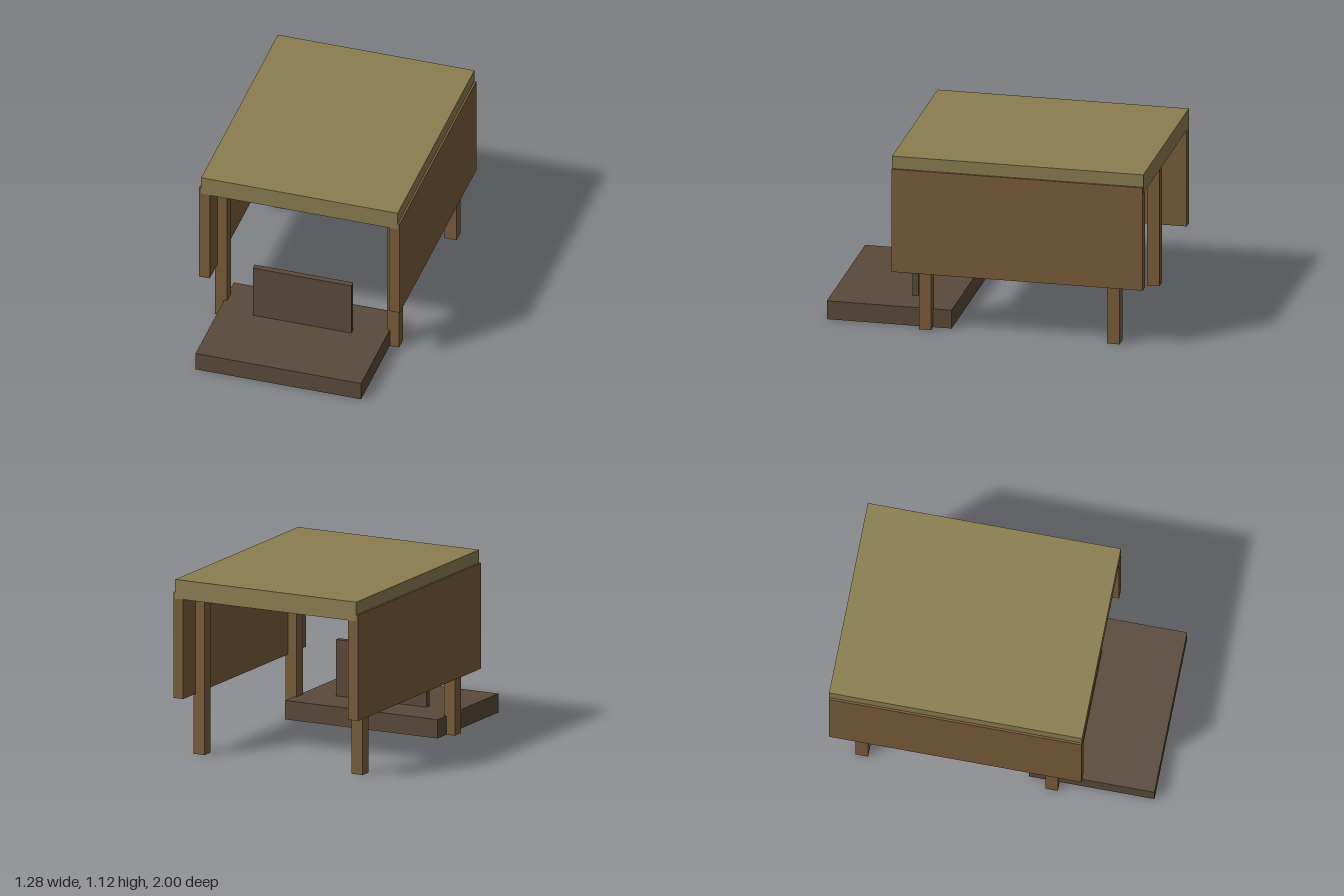
import * as THREE from 'three';

const material = (name, color) => {
  const m = new THREE.MeshStandardMaterial({ color });
  m.name = name;
  return m;
};

export function createModel() {
  const model = new THREE.Group();
  model.name = 'coveredStall';
  const thatch = material('olive roof', 0x8b7d50);
  const wood = material('brown wood', 0x7a5c3a);
  const darkWood = material('dark wood', 0x5a4a3a);

  // Box given by its lower and upper limits on each axis
  const box = (name, mat, [x0, x1], [y0, y1], [z0, z1]) => {
    const mesh = new THREE.Mesh(new THREE.BoxGeometry(x1 - x0, y1 - y0, z1 - z0), mat);
    mesh.position.set((x0 + x1) / 2, (y0 + y1) / 2, (z0 + z1) / 2);
    mesh.name = name;
    model.add(mesh);
  };

  // Flat roof slab
  box('roof', thatch, [-0.627, 0.627], [1, 1.12], [-1, 0.57]);

  // Side panels and posts, mirrored left and right
  for (const [side, s] of [['left', 1], ['right', -1]]) {
    const span = (a, b) => (s > 0 ? [a, b] : [-b, -a]);
    box(side + 'Panel', wood, span(0.572, 0.64), [0.377, 1.04], [-0.999, 0.569]);
    box(side + 'FrontPost', wood, span(0.51, 0.587), [0, 1], [0.335, 0.412]);
    box(side + 'BackPost', wood, span(0.51, 0.587), [0, 1], [-0.842, -0.765]);
  }

  // Low platform with an upright board
  box('platform', darkWood, [-0.528, 0.528], [0, 0.118], [0.22, 1]);
  box('uprightBoard', darkWood, [-0.314, 0.314], [0.118, 0.471], [0.475, 0.513]);

  return model;
}
